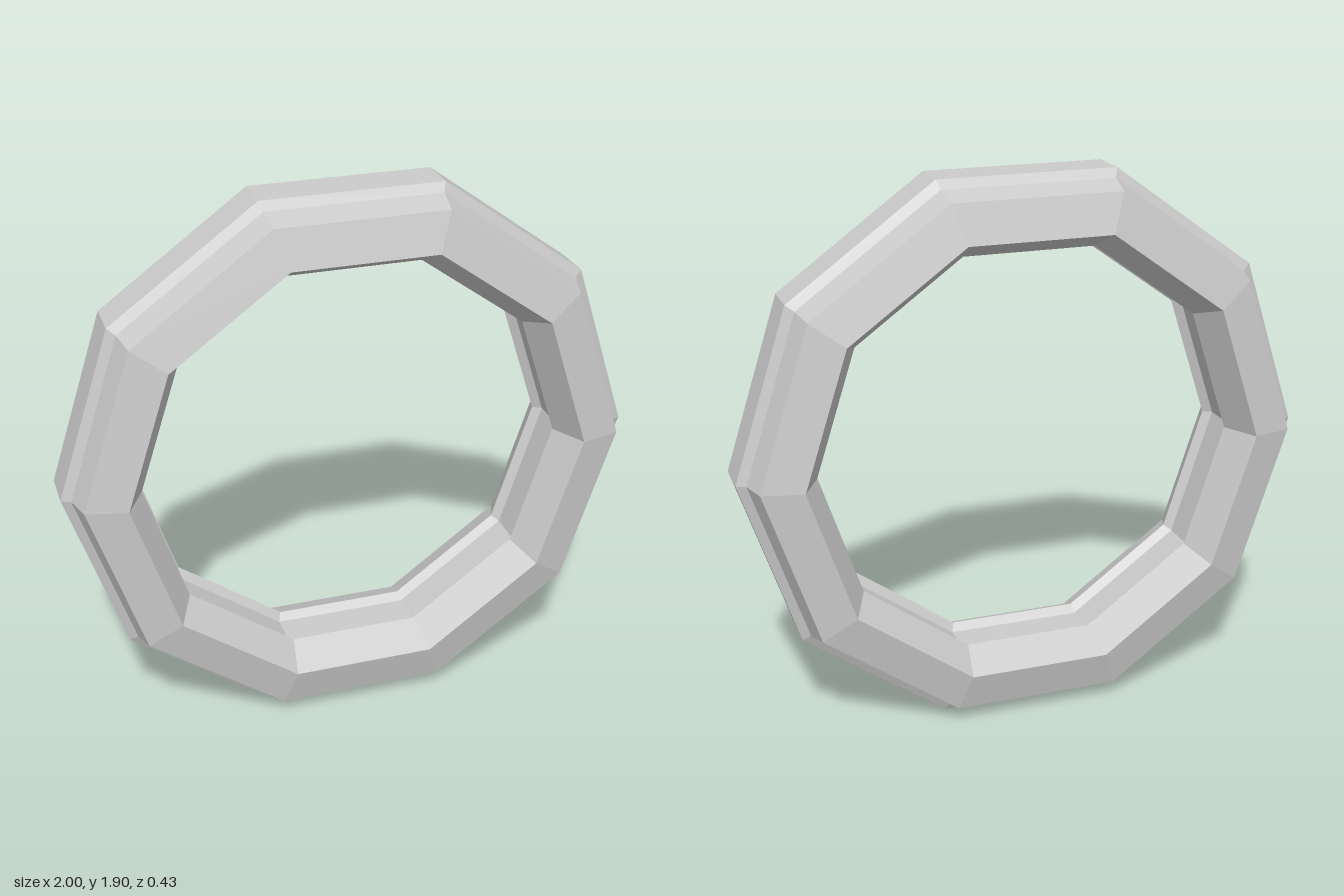
import * as THREE from 'three';

const SIDES = 10;

export function createModel() {
  const group = new THREE.Group();
  const material = new THREE.MeshStandardMaterial({ color: 0xcccccc, flatShading: true });

  // Half of the cross-section [radius, depth], from the outer tread to the inner groove
  const half = [
    [1.0, 0.073],   // raised tread band
    [0.967, 0.09],  // step beside the tread
    [0.94, 0.18],   // shoulder
    [0.8, 0.215],   // side wall
    [0.735, 0.09],  // inner slope
    [0.765, 0.07],  // inner groove
  ];
  const mirrored = half.map(([r, d]) => [r, -d]).reverse();
  const profile = [...half, ...mirrored, half[0]].map(([r, d]) => new THREE.Vector2(r, d));

  // Ten-sided ring with corners on the x axis, turned to face the front
  const geometry = new THREE.LatheGeometry(profile, SIDES, Math.PI / 2);
  geometry.rotateX(Math.PI / 2);

  const ring = new THREE.Mesh(geometry, material);
  ring.name = 'ring';
  ring.position.y = Math.cos(Math.PI / SIDES); // rests on its lowest flat
  group.add(ring);
  return group;
}
